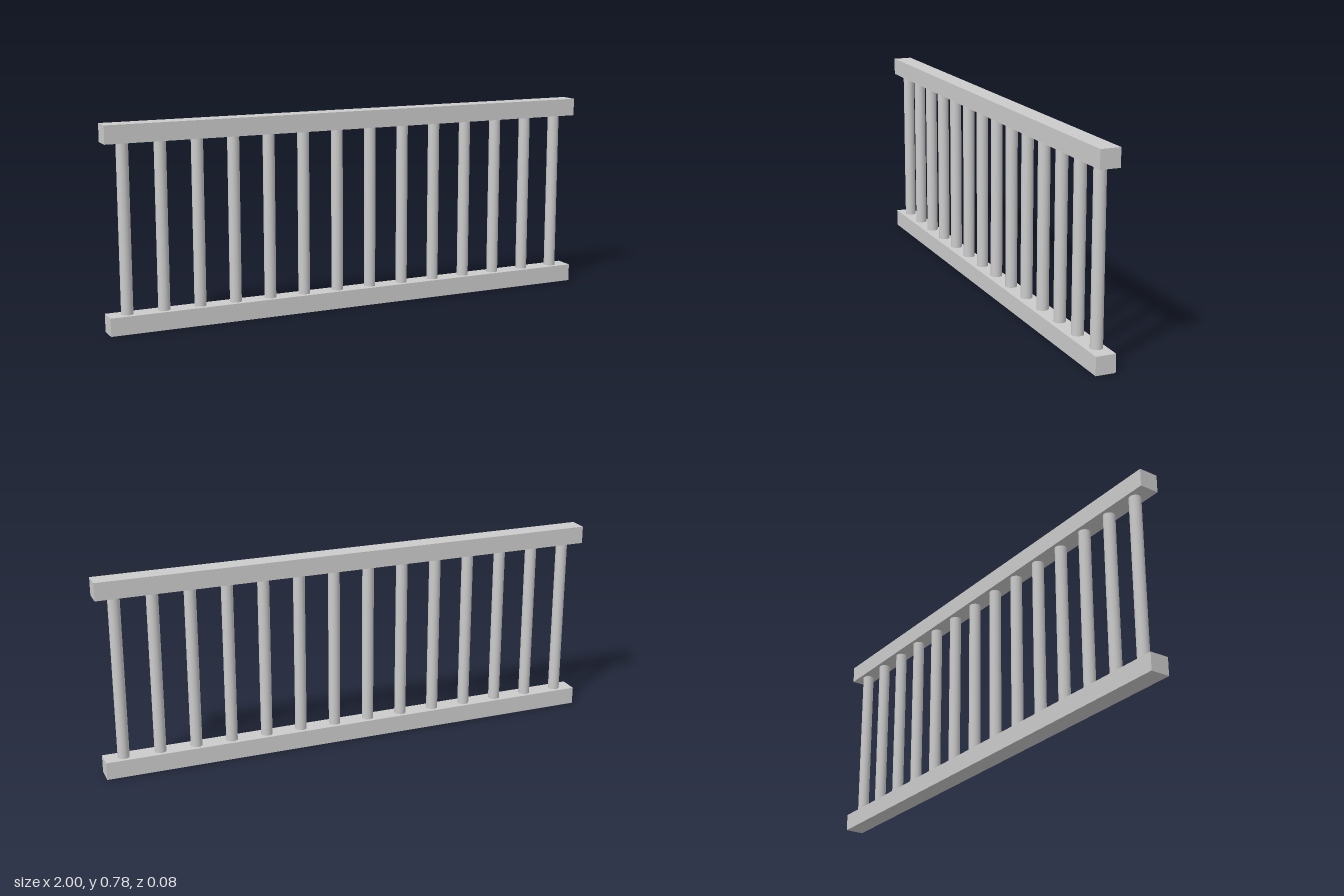
import * as THREE from 'three';

const LENGTH = 2, HEIGHT = 0.778;
const RAIL_HEIGHT = 0.069, RAIL_DEPTH = 0.076;
const BALUSTERS = 14, BALUSTER_RADIUS = 0.0227, BALUSTER_SPAN = 1.851;

export function createModel() {
  const model = new THREE.Group();
  model.name = 'railing';
  const material = new THREE.MeshStandardMaterial({ color: 0xcccccc });

  const add = (name, geometry, x, y, z = 0) => {
    const mesh = new THREE.Mesh(geometry, material);
    mesh.name = name;
    mesh.position.set(x, y, z);
    model.add(mesh);
  };

  // Square top and bottom rails
  const rail = new THREE.BoxGeometry(LENGTH, RAIL_HEIGHT, RAIL_DEPTH);
  add('bottomRail', rail, 0, RAIL_HEIGHT / 2);
  add('topRail', rail, 0, HEIGHT - RAIL_HEIGHT / 2);

  // Evenly spaced round balusters, ending at the rails
  const baluster = new THREE.CylinderGeometry(
    BALUSTER_RADIUS, BALUSTER_RADIUS, HEIGHT - 2 * RAIL_HEIGHT, 32);
  for (let i = 0; i < BALUSTERS; i++) {
    const x = (i / (BALUSTERS - 1) - 0.5) * BALUSTER_SPAN;
    add(`baluster${i + 1}`, baluster, x, HEIGHT / 2, -0.002);
  }

  return model;
}
